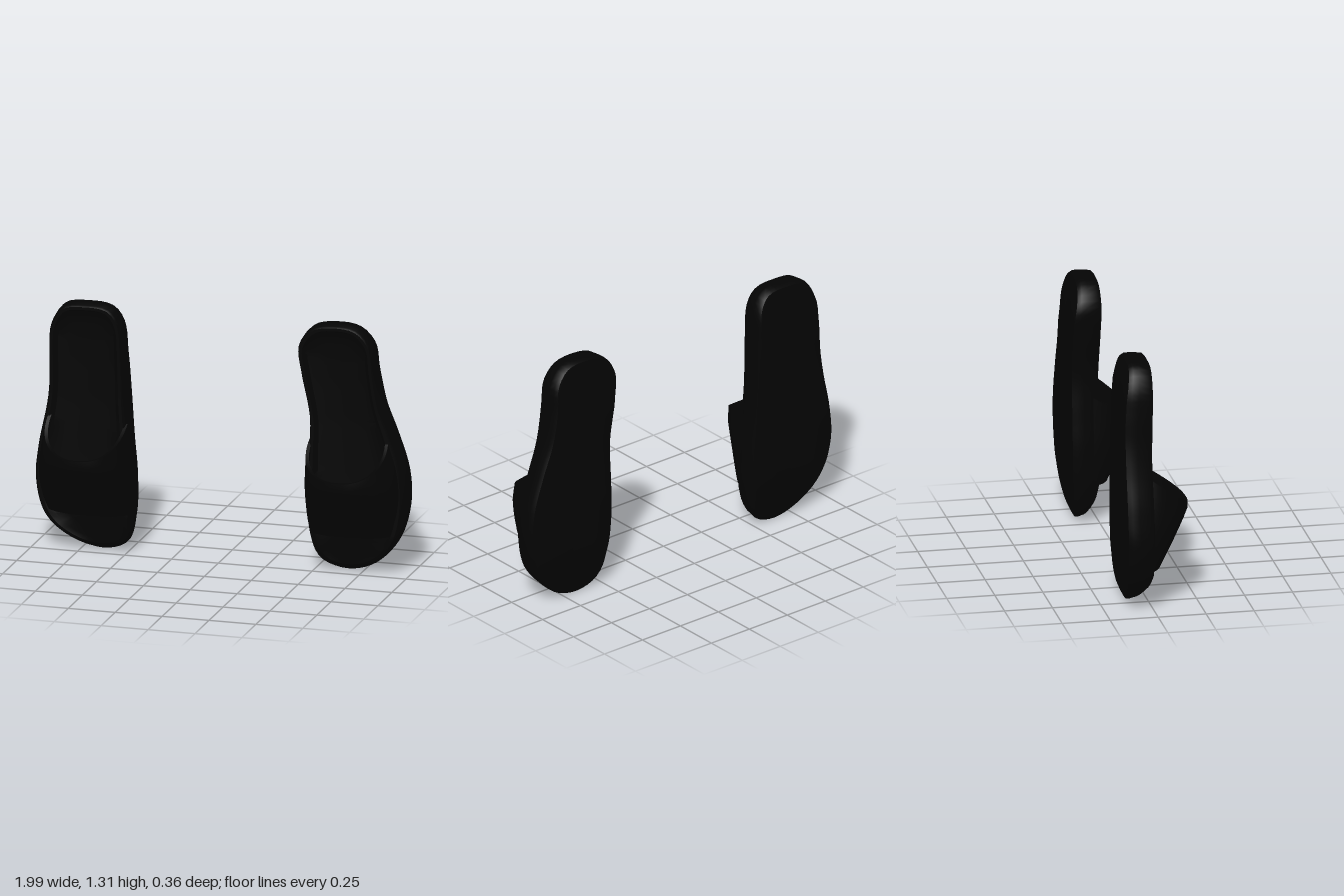
import * as THREE from 'three';
import { toCreasedNormals } from 'three/addons/utils/BufferGeometryUtils.js';

// piecewise linear lookup: table of [key, value] pairs with rising keys
function lookup(table, k) {
  if (k <= table[0][0]) return table[0][1];
  for (let i = 1; i < table.length; i++) {
    const [k0, v0] = table[i - 1], [k1, v1] = table[i];
    if (k <= k1) return v0 + (v1 - v0) * (k - k0) / (k1 - k0);
  }
  return table[table.length - 1][1];
}

// skin a list of closed rings; side -1 mirrors the part and reverses its faces
function skin(rings, side) {
  const n = rings[0].length, pos = [], idx = [];
  rings.forEach(r => r.forEach(([x, y, z]) => pos.push(x * side, y, z)));
  for (let i = 0; i < rings.length - 1; i++) {
    for (let j = 0; j < n; j++) {
      const a = i * n + j, b = a + n, d = i * n + (j + 1) % n, c = d + n;
      if (side < 0) idx.push(a, c, b, a, d, c);
      else idx.push(a, b, c, a, c, d);
    }
  }
  const g = new THREE.BufferGeometry();
  g.setAttribute('position', new THREE.Float32BufferAttribute(pos, 3));
  g.setIndex(idx);
  return toCreasedNormals(g, 0.7);
}

// sole outlines from the heel, down the inner edge, round the toe and up the outer edge
const leftOutline = [
  [0.6, 1.315], [0.49, 1.29], [0.42, 1.2], [0.43, 1.05], [0.465, 0.82], [0.457, 0.6],
  [0.45, 0.4], [0.472, 0.2], [0.53, 0.05], [0.65, 0.003], [0.8, 0.04], [0.93, 0.17],
  [0.993, 0.36], [0.988, 0.55], [0.925, 0.75], [0.865, 0.9], [0.825, 1.08], [0.805, 1.22], [0.73, 1.3],
];
const rightOutline = [
  [0.72, 1.315], [0.59, 1.3], [0.535, 1.23], [0.515, 1.05], [0.495, 0.82], [0.48, 0.6],
  [0.463, 0.4], [0.468, 0.2], [0.51, 0.05], [0.63, 0.003], [0.78, 0.04], [0.93, 0.17],
  [0.997, 0.36], [0.985, 0.55], [0.943, 0.75], [0.92, 0.9], [0.912, 1.08], [0.9, 1.2], [0.84, 1.295],
];

// sole face heights along the length
const frontZ = [[0, -0.092], [0.05, -0.058], [0.13, -0.022], [0.2, -0.008], [0.8, -0.012], [1.31, -0.004]];
const backZ = [[0, -0.11], [0.05, -0.126], [0.12, -0.137], [0.25, -0.147], [0.5, -0.153],
  [1.0, -0.154], [1.15, -0.145], [1.31, -0.117]];
// extra narrowing of the upper sole edge at the waist
const waistTaper = [[0.1, 0], [0.35, 0.05], [0.8, 0.07], [1.1, 0]];

// rings as [pull toward the centre line, height between back (0) and front (1)]
const footbedRings = [[1, 0.81], [0.5, 0.81], [0.24, 0.84], [0.13, 1]];
const soleRings = [[0.13, 1], [0.06, 1], [0.025, 0.92], [0, 0.45], [0, 0.18], [0.05, 0.02], [0.12, 0], [0.5, 0], [1, 0]];

function makeSandal(name, points, side, material) {
  const path = new THREE.CatmullRomCurve3(points.map(([x, y]) => new THREE.Vector3(x, y, 0)), true)
    .getSpacedPoints(96).slice(0, 96);
  // inner and outer edge positions by length
  const toe = path.reduce((best, p, i) => (p.y < path[best].y ? i : best), 0);
  const inner = path.slice(0, toe + 1).reverse().map(p => [p.y, p.x]);
  const outer = path.slice(toe).map(p => [p.y, p.x]);
  const middle = y => (lookup(inner, y) + lookup(outer, y)) / 2;
  const spine = [[0.25, middle(0.25)], [1.1, middle(1.1)]];

  const soleRing = ([pull, t]) => path.map(p => {
    const k = Math.min(1, pull + t * lookup(waistTaper, p.y));
    const sy = THREE.MathUtils.clamp(p.y, 0.25, 1.1);
    const sx = lookup(spine, sy);
    const x = p.x + (sx - p.x) * k, y = p.y + (sy - p.y) * k;
    const f = lookup(frontZ, y), b = lookup(backZ, y);
    return [x, y, b + (f - b) * t];
  });

  // arched strap, steeper on the inner side and sloping on the outer side
  const strapPoint = (angle, v, depth) => {
    const s = Math.sin(angle), c = Math.cos(angle);
    const top = 0.54 + (c < 0 ? 0.15 : 0.19) * (1 - s);
    const y = 0.215 + (top - 0.215) * v;
    const l = lookup(inner, y) + 0.01, r = lookup(outer, y) - 0.038;
    const h = Math.min(0.105 + (y - 0.215) * 0.49, 0.245);
    const across = c < 0 ? -Math.pow(-c, 0.72) : c;
    return [(l + r) / 2 + ((r - l) / 2 - depth) * across, y, -0.04 + (h - depth) * s];
  };
  const strapRings = [], steps = 40, rows = 8;
  for (let i = 0; i <= steps; i++) {
    const angle = Math.PI * (1 - i / steps), ring = [];
    for (let j = 0; j <= rows; j++) ring.push(strapPoint(angle, j / rows, 0));
    for (let j = rows; j >= 0; j--) ring.push(strapPoint(angle, j / rows, 0.017));
    strapRings.push(ring);
  }

  const group = new THREE.Group();
  group.name = name;
  const add = (part, rings) => {
    const mesh = new THREE.Mesh(skin(rings, side), material);
    mesh.name = part;
    group.add(mesh);
  };
  add('footbed', footbedRings.map(soleRing)); // dished inside a raised rim
  add('sole', soleRings.map(soleRing)); // rim, side wall and underside
  add('strap', strapRings); // wide band over the foot
  return group;
}

export function createModel() {
  const black = new THREE.MeshStandardMaterial({ color: 0x040404, side: THREE.DoubleSide });
  black.name = 'black rubber';
  const model = new THREE.Group();
  model.name = 'slideSandals';
  model.add(makeSandal('leftSandal', leftOutline, 1, black));
  model.add(makeSandal('rightSandal', rightOutline, -1, black));
  return model;
}
